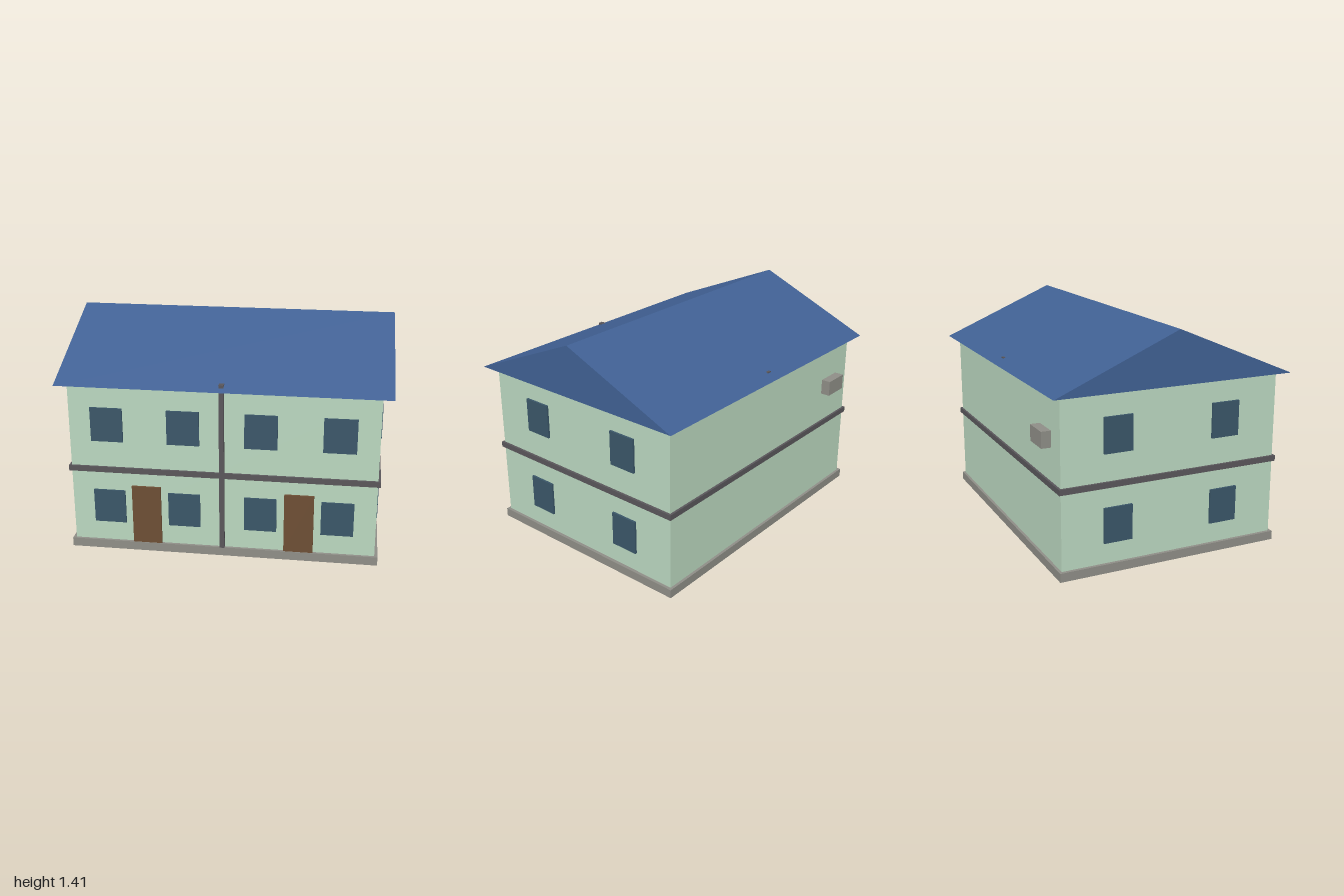
import * as THREE from 'three';

const mat = (name, color) => {
  const m = new THREE.MeshStandardMaterial({ color });
  m.name = name;
  return m;
};

export function createModel() {
  const house = new THREE.Group();
  house.name = 'house';
  const wallGreen = mat('wallGreen', 0xbad7bf);
  const roofBlue = mat('roofBlue', 0x406093);
  const glassBlue = mat('glassBlue', 0x3a5668);
  const doorBrown = mat('doorBrown', 0x6d4e34);
  const trimGrey = mat('trimGrey', 0x59565a);
  const stoneGrey = mat('stoneGrey', 0x8e8d86);
  const undersideMagenta = mat('undersideMagenta', 0xe00ce0);

  // Box given by its minimum and maximum corners
  const box = (name, material, [x0, y0, z0], [x1, y1, z1]) => {
    const mesh = new THREE.Mesh(new THREE.BoxGeometry(x1 - x0, y1 - y0, z1 - z0), material);
    mesh.position.set((x0 + x1) / 2, (y0 + y1) / 2, (z0 + z1) / 2);
    mesh.name = name;
    house.add(mesh);
  };

  const W = 0.935, D = 0.703, eave = 1.083;

  // Plinth with a magenta underside (box faces run +x, -x, +y, -y, +z, -z)
  const plinthFaces = [stoneGrey, stoneGrey, stoneGrey, undersideMagenta, stoneGrey, stoneGrey];
  box('plinth', plinthFaces, [-0.955, 0, -0.72], [0.955, 0.055, 0.72]);

  // Walls and the band between the floors
  box('walls', wallGreen, [-W, 0.055, -D], [W, eave, D]);
  box('floorBand', trimGrey, [-0.95, 0.52, -0.717], [0.95, 0.555, 0.717]);

  // Party wall dividing the two homes; it shows at the front and pierces the eaves
  box('partyWall', trimGrey, [-0.015, 0.055, -0.702], [0.015, 1.116, 0.725]);

  // Gabled roof, extruded along x
  const gable = new THREE.Shape([
    new THREE.Vector2(-0.764, eave),
    new THREE.Vector2(0.764, eave),
    new THREE.Vector2(0, 1.406),
  ]);
  const roofGeometry = new THREE.ExtrudeGeometry(gable, { depth: 2, bevelEnabled: false });
  roofGeometry.translate(0, 0, -1).rotateY(Math.PI / 2);
  const roof = new THREE.Mesh(roofGeometry, roofBlue);
  roof.name = 'roof';
  house.add(roof);

  // Windows on both floors: four at the front, two on each end wall
  for (const [y0, y1] of [[0.182, 0.399], [0.722, 0.938]]) {
    for (const x of [-0.7025, -0.235, 0.235, 0.7025]) {
      box('frontWindow', glassBlue, [x - 0.099, y0, D], [x + 0.099, y1, D + 0.0095]);
    }
    for (const side of [-1, 1]) {
      for (const z of [-0.351, 0.351]) {
        const x = side * (W + 0.006);
        box('endWindow', glassBlue, [x - 0.007, y0, z - 0.09], [x + 0.007, y1, z + 0.09]);
      }
    }
  }

  // Front doors
  for (const x of [-0.47, 0.47]) {
    box('frontDoor', doorBrown, [x - 0.09, 0.055, D], [x + 0.09, 0.435, D + 0.013]);
  }

  // Ventilation unit on the back wall
  box('ventilationUnit', stoneGrey, [-0.805, 0.758, -0.763], [-0.635, 0.857, -D]);

  return house;
}
